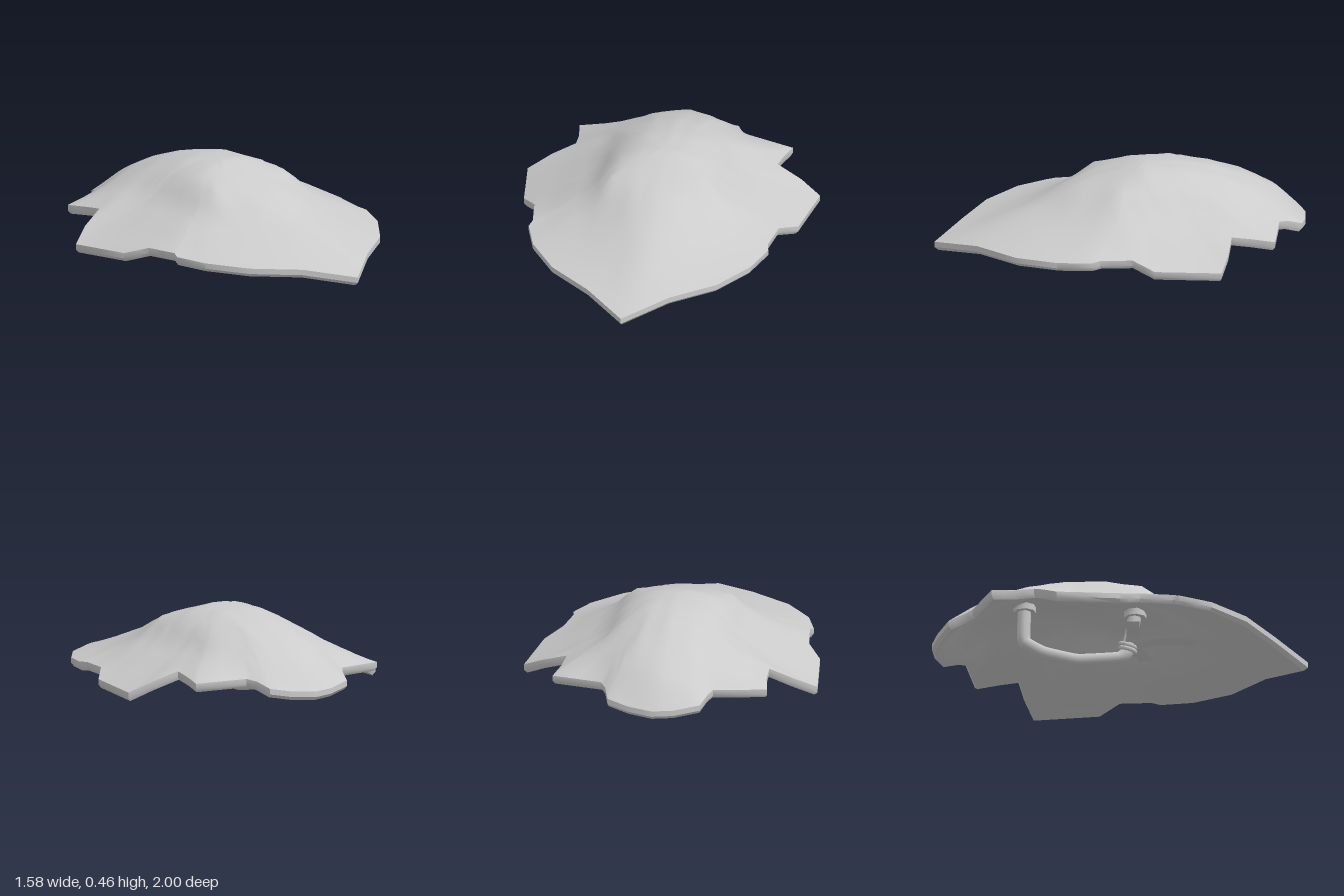
import * as THREE from 'three';
import { toCreasedNormals } from 'three/addons/utils/BufferGeometryUtils.js';

const grey = new THREE.MeshStandardMaterial({ color: 0xcccccc });
const greyThin = new THREE.MeshStandardMaterial({ color: 0xcccccc, side: THREE.DoubleSide });

// Notched rim of the shield: x, z, height of the upper edge
const CORNERS = [
  [-0.06, 1.0, 0.075], [0.17, 0.82, 0.12], [0.4, 0.66, 0.125], [0.55, 0.47, 0.135],
  [0.62, 0.3, 0.145], [0.61, 0.25, 0.15], [0.64, 0.08, 0.15], [0.73, -0.02, 0.11],
  [0.79, -0.37, 0.095], [0.68, -0.43, 0.15], [0.545, -0.48, 0.2], [0.56, -0.59, 0.185],
  [0.59, -0.705, 0.17], [0.32, -0.79, 0.18], [0.29, -0.84, 0.17], [0.265, -0.925, 0.14],
  [0.15, -0.97, 0.12], [0.02, -1.0, 0.11], [-0.095, -0.985, 0.115], [-0.23, -0.94, 0.135],
  [-0.26, -0.86, 0.165], [-0.285, -0.82, 0.18], [-0.565, -0.75, 0.17], [-0.545, -0.625, 0.185],
  [-0.545, -0.52, 0.2], [-0.67, -0.49, 0.14], [-0.79, -0.43, 0.075], [-0.755, -0.085, 0.1],
  [-0.68, 0.03, 0.14], [-0.66, 0.21, 0.15], [-0.675, 0.25, 0.14], [-0.625, 0.42, 0.135],
  [-0.49, 0.62, 0.125], [-0.27, 0.8, 0.115],
];
// A midpoint on every rim edge keeps the dome smooth
const RIM = CORNERS.flatMap((p, i) => {
  const q = CORNERS[(i + 1) % CORNERS.length];
  return [p, p.map((v, k) => (v + q[k]) / 2)];
});
const CENTRE_Z = -0.15, THICK = 0.045;

// Cross-sections of the dome: height over |x| at each z
const XS = [0, 0.13, 0.26, 0.37, 0.6, 0.8];
const SECTIONS = [
  [-1.0, [0.11, 0.12, 0.13, 0.13, 0.12, 0.1]],
  [-0.86, [0.26, 0.25, 0.2, 0.18, 0.17, 0.15]],
  [-0.7, [0.34, 0.335, 0.3, 0.25, 0.17, 0.13]],
  [-0.5, [0.415, 0.4, 0.355, 0.29, 0.185, 0.12]],
  [-0.3, [0.455, 0.445, 0.385, 0.28, 0.17, 0.09]],
  [-0.1, [0.465, 0.45, 0.4, 0.285, 0.175, 0.095]],
  [0.08, [0.41, 0.405, 0.385, 0.285, 0.165, 0.1]],
  [0.25, [0.365, 0.345, 0.28, 0.235, 0.155, 0.1]],
  [0.4, [0.29, 0.265, 0.225, 0.19, 0.135, 0.1]],
  [0.7, [0.185, 0.16, 0.14, 0.125, 0.1, 0.08]],
  [1.0, [0.075, 0.075, 0.075, 0.075, 0.075, 0.075]],
];

function interpolate(keys, values, at) {
  let i = 0;
  while (i < keys.length - 2 && at > keys[i + 1]) i++;
  const s = THREE.MathUtils.clamp((at - keys[i]) / (keys[i + 1] - keys[i]), 0, 1);
  return THREE.MathUtils.lerp(values[i], values[i + 1], s);
}

function domeHeight(x, z) {
  const heights = SECTIONS.map(([, row]) => interpolate(XS, row, Math.abs(x)));
  return interpolate(SECTIONS.map(s => s[0]), heights, z);
}

// One loop of the plate, t = 0 at the centre and 1 at the rim
function shellRing(t, scale, drop) {
  return RIM.map(([x, z, edge]) => {
    const dz = z - CENTRE_Z;
    const y = domeHeight(x * t, CENTRE_Z + dz * t) + (edge - domeHeight(x, z)) * t ** 3;
    return [x * t * scale, y - drop, CENTRE_Z + dz * t * scale];
  });
}

// Joins loops of equal length with quads
function loft(rings, closed) {
  const n = rings[0].length, index = [];
  for (let r = 0; r < rings.length - 1; r++) {
    for (let i = 0; i < (closed ? n : n - 1); i++) {
      const j = (i + 1) % n;
      const a = r * n + i, b = a + n, c = (r + 1) * n + j, d = r * n + j;
      index.push(a, b, c, a, c, d);
    }
  }
  const g = new THREE.BufferGeometry();
  g.setAttribute('position', new THREE.Float32BufferAttribute(rings.flat(2), 3));
  g.setIndex(index);
  g.computeVertexNormals();
  return g;
}

function add(parent, name, geometry, material = grey) {
  const mesh = new THREE.Mesh(geometry, material);
  mesh.name = name;
  parent.add(mesh);
  return mesh;
}

const curve = (pts, tension = 0.5) => new THREE.CatmullRomCurve3(
  pts.map(p => new THREE.Vector3(...p)), false, 'catmullrom', tension);

// Flat leather band following a curve
function ribbon(pts, width) {
  const path = curve(pts), rings = [];
  for (let i = 0; i <= 10; i++) {
    const p = path.getPoint(i / 10), d = path.getTangent(i / 10);
    const s = new THREE.Vector3(-d.z, 0, d.x).normalize().multiplyScalar(width / 2);
    rings.push([p.clone().sub(s).toArray(), p.clone().add(s).toArray()]);
  }
  return loft(rings, false);
}

export function createModel() {
  const model = new THREE.Group();
  model.name = 'shield';

  // Domed plate: top, bevelled rim, hollow underside thickening to the centre
  const steps = 12, rings = [];
  for (let k = 0; k <= steps; k++) rings.push(shellRing(k / steps, 1, 0));
  rings.push(shellRing(1, 1, 0.03), shellRing(1, 0.98, THICK + 0.003));
  for (let k = steps; k >= 0; k--) {
    const t = k / steps;
    rings.push(shellRing(t, 0.955, THREE.MathUtils.lerp(0.075, 0.04, t)));
  }
  add(model, 'plate', toCreasedNormals(loft(rings, true), 0.7));

  // Bent grip with a flange at each end
  const grip = new THREE.Group();
  grip.name = 'grip';
  model.add(grip);
  const X = -0.03;
  const path = curve([
    [X, 0.33, 0.08], [X, 0.2, 0.06], [X, 0.09, 0.03], [X, 0.06, -0.01], [X, 0.036, -0.23],
    [X, 0.07, -0.41], [X, 0.125, -0.51], [X, 0.2, -0.515], [X, 0.34, -0.51],
  ], 0.2);
  add(grip, 'gripBar', new THREE.TubeGeometry(path, 48, 0.036, 8, false));
  for (const [y, z] of [[0.315, 0.08], [0.315, -0.51]]) {
    add(grip, 'flange', toCreasedNormals(new THREE.CylinderGeometry(0.06, 0.06, 0.035, 8), 0.9))
      .position.set(X, y, z);
  }

  // Straps knotted around the front post
  const straps = new THREE.Group();
  straps.name = 'straps';
  model.add(straps);
  for (const y of [0.11, 0.135]) {
    const knot = add(straps, 'knot', new THREE.TorusGeometry(0.041, 0.012, 6, 12));
    knot.position.set(X, y, 0.04);
    knot.rotation.set(Math.PI / 2 + 0.25, y * 2, 0);
  }
  const start = [X, 0.12, 0.05];
  add(straps, 'strapLeft', ribbon([start, [0.08, 0.16, 0.1], [0.2, 0.19, 0.14], [0.31, 0.21, 0.18]], 0.08), greyThin);
  add(straps, 'strapFront', ribbon([start, [-0.04, 0.16, 0.2], [-0.08, 0.15, 0.38], [-0.14, 0.1, 0.54]], 0.085), greyThin);
  add(straps, 'strapRight', ribbon([start, [-0.1, 0.16, 0.06], [-0.18, 0.15, 0.05], [-0.26, 0.17, 0.04]], 0.07), greyThin);

  return model;
}
